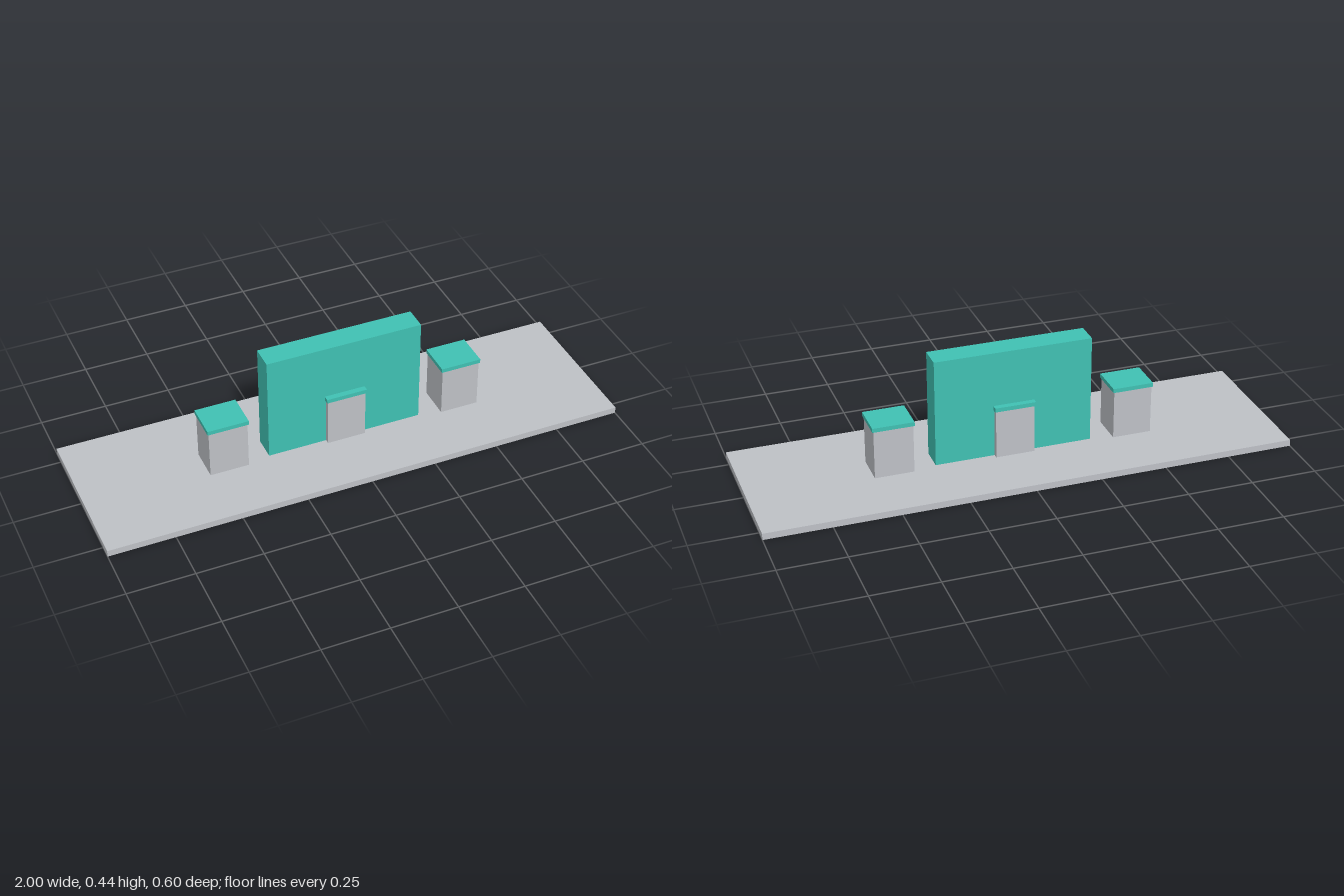
import * as THREE from 'three';

export function createModel() {
  const model = new THREE.Group();
  const grey = new THREE.MeshStandardMaterial({ color: 0xbec1c6 });
  grey.name = 'stone grey';
  const teal = new THREE.MeshStandardMaterial({ color: 0x40c1b3 });
  teal.name = 'teal';

  // Box standing between two heights, centred on z = 0
  function block(name, material, parent, width, depth, bottom, top) {
    const mesh = new THREE.Mesh(new THREE.BoxGeometry(width, top - bottom, depth), material);
    mesh.position.y = (bottom + top) / 2;
    mesh.name = name;
    parent.add(mesh);
  }

  // Floor slab and the display wall set into it
  block('floor', grey, model, 2, 0.6, 0, 0.025);
  block('backWall', teal, model, 0.6, 0.091, 0.001, 0.441);

  // Three pedestals with overhanging caps
  [['right', -0.46], ['centre', 0], ['left', 0.46]].forEach(([side, x]) => {
    const pedestal = new THREE.Group();
    pedestal.name = side + 'Pedestal';
    pedestal.position.x = x;
    block('column', grey, pedestal, 0.148, 0.128, 0.02, 0.213);
    block('cap', teal, pedestal, 0.157, 0.135, 0.213, 0.229);
    model.add(pedestal);
  });

  return model;
}
